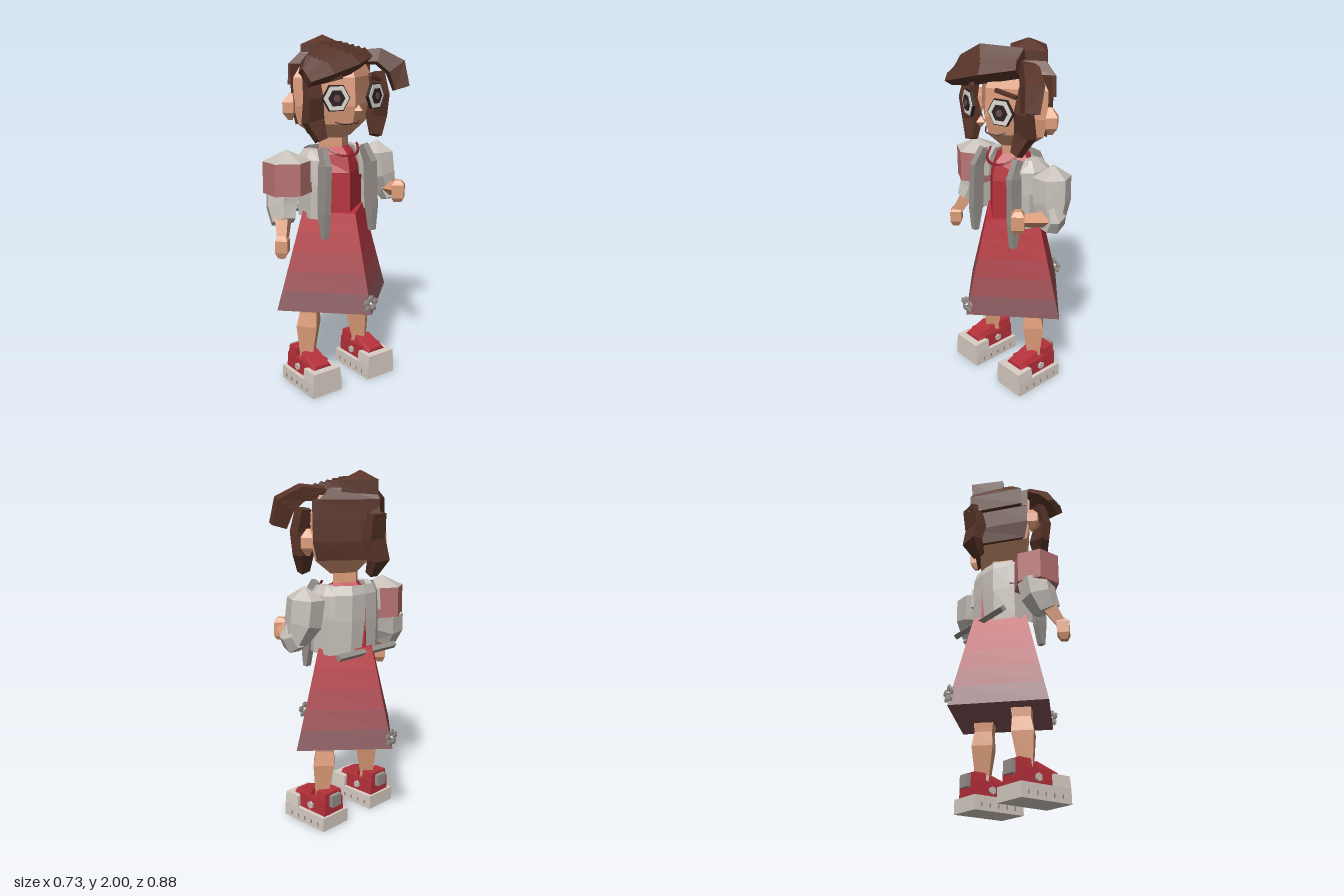
import * as THREE from 'three';

const SKIN = 0xdb9b78, HAIR = 0x5a3529, RED = 0xb5303a, CLOTH = 0xc8c1ba, TRIM = 0x98928c, DARK = 0x2b2122, SOLE = 0xd8cec4;
const V = (x, y, z) => new THREE.Vector3(x, y, z);

function mesh(name, color, geometry, parent, pos = [0, 0, 0], rot = [0, 0, 0], side = THREE.FrontSide) {
  const m = new THREE.Mesh(geometry, new THREE.MeshStandardMaterial({ color, flatShading: true, side }));
  m.name = name;
  m.position.set(...pos);
  m.rotation.set(...rot);
  parent.add(m);
  return m;
}
const box = (name, color, size, pos, parent, rot) => mesh(name, color, new THREE.BoxGeometry(...size), parent, pos, rot);

// Horizontal ring of n points
function ring(cx, y, cz, rx, rz, n = 4) {
  return Array.from({ length: n }, (_, i) => {
    const a = (i / n) * Math.PI * 2;
    return V(cx + rx * Math.cos(a), y, cz + rz * Math.sin(a));
  });
}

// Skin over a stack of rings; closed with caps, or an open sheet
function loft(name, color, rings, parent, open = false) {
  const tris = [], n = rings[0].length;
  for (let r = 0; r + 1 < rings.length; r++) {
    for (let i = 0; i < (open ? n - 1 : n); i++) {
      const j = (i + 1) % n, a = rings[r][i], b = rings[r][j], c = rings[r + 1][j], d = rings[r + 1][i];
      tris.push([a, b, c], [a, c, d]);
    }
  }
  if (!open) {
    const last = rings[rings.length - 1];
    for (let i = 1; i + 1 < n; i++) tris.push([rings[0][0], rings[0][i + 1], rings[0][i]], [last[0], last[i], last[i + 1]]);
    const o = rings[0][0];
    const volume = tris.reduce((s, [a, b, c]) => s + a.clone().sub(o).dot(b.clone().sub(o).cross(c.clone().sub(o))), 0);
    if (volume < 0) tris.forEach(t => t.reverse());
  }
  const g = new THREE.BufferGeometry().setFromPoints(tris.flat());
  g.computeVertexNormals();
  return mesh(name, color, g, parent, undefined, undefined, open ? THREE.DoubleSide : THREE.FrontSide);
}

// Limb or lock along points [x, y, z, halfWidth, halfThickness]; width lies along `across`
function limb(name, color, pts, parent, n = 4, phase = 0, across = V(0, 0, 1)) {
  const p = pts.map(q => V(q[0], q[1], q[2]));
  const rings = pts.map((q, k) => {
    const t = p[Math.min(k + 1, p.length - 1)].clone().sub(p[Math.max(k - 1, 0)]).normalize();
    const u = across.clone().addScaledVector(t, -across.dot(t)).normalize(), w = t.clone().cross(u);
    return Array.from({ length: n }, (_, i) => {
      const a = (i / n) * Math.PI * 2 + phase;
      return p[k].clone().addScaledVector(u, q[3] * Math.cos(a)).addScaledVector(w, q[4] * Math.sin(a));
    });
  });
  return loft(name, color, rings, parent);
}
const Q = Math.PI / 4;

function buildBody(g) {
  // Skirt: four-sided, fading toward the hem
  const top = new THREE.Color(0xb8303a), hem = new THREE.Color(0x86555a), bands = 5;
  for (let i = 0; i < bands; i++) {
    const at = f => ring(0, 1.04 - 0.55 * f, 0, 0.205 + 0.157 * f, 0.215 + 0.177 * f);
    const c = top.clone().lerp(hem, Math.pow(i / (bands - 1), 1.5));
    loft('skirt', c.getHex(), [at((i + 1) / bands), at(i / bands)], g);
  }
  loft('bodice', RED, [ring(0, 1.03, 0, 0.157, 0.2), ring(0, 1.26, 0, 0.152, 0.2), ring(0, 1.36, 0, 0.13, 0.14), ring(0, 1.4, 0, 0.08, 0.09)], g);
  loft('neck', SKIN, [ring(0, 1.34, 0, 0.08, 0.1), ring(0, 1.5, 0, 0.08, 0.1)], g);
  const cord = new THREE.CatmullRomCurve3([V(0.07, 1.41, 0.11), V(0.13, 1.37, 0.07), V(0.15, 1.355, 0), V(0.13, 1.37, -0.07), V(0.07, 1.41, -0.11)]);
  mesh('neckCord', 0x8c2029, new THREE.TubeGeometry(cord, 12, 0.008, 4), g);

  // Open jacket shell, broad front lapels and rear bar
  const half = [[0.12, 0.17], [0.06, 0.2], [-0.07, 0.2], [-0.145, 0.1]];
  const outline = [...half, [-0.152, 0], ...half.map(([x, z]) => [x, -z]).reverse()];
  const row = (y, sx, sz, dx = 0) => outline.map(([x, z]) => V(x * sx + dx, y, z * sz));
  loft('jacket', CLOTH, [row(1.01, 0.94, 1), row(1.2, 1, 1), row(1.34, 0.99, 0.96), row(1.39, 0.88, 0.82)], g, true);
  for (const s of [1, -1]) {
    limb('lapel', TRIM, [[0.09, 1.4, s * 0.14, 0.025, 0.035], [0.135, 1.31, s * 0.155, 0.03, 0.05], [0.14, 1.05, s * 0.165, 0.03, 0.05], [0.15, 0.91, s * 0.165, 0.025, 0.02]], g, 4, Q);
    loft('shoulder', CLOTH, [ring(0, 1.22, s * 0.19, 0.1, 0.04, 6), ring(0, 1.34, s * 0.18, 0.1, 0.05, 6), ring(0, 1.39, s * 0.15, 0.05, 0.03, 6)], g);
  }
  mesh('rearBar', TRIM, new THREE.CylinderGeometry(0.021, 0.021, 0.46, 4), g, [-0.17, 1.02, 0], [Math.PI / 2, 0, 0]);

  // Hem flowers, front and back
  for (const s of [1, -1]) {
    const flower = new THREE.Group();
    flower.name = 'hemFlower';
    flower.position.set(s * 0.354, 0.555, 0);
    for (let i = 0; i < 5; i++) {
      const a = (i / 5) * Math.PI * 2;
      const petal = mesh('petal', TRIM, new THREE.IcosahedronGeometry(0.023, 0), flower, [0, 0.031 * Math.cos(a), 0.031 * Math.sin(a)]);
      petal.scale.x = 0.3;
    }
    mesh('flowerCentre', CLOTH, new THREE.OctahedronGeometry(0.013), flower);
    g.add(flower);
  }
}

function buildLegs(g) {
  for (const s of [1, -1]) {
    loft('leg', SKIN, [ring(0, 0.15, s * 0.19, 0.05, 0.055), ring(0.005, 0.2, s * 0.19, 0.055, 0.058), ring(0, 0.36, s * 0.18, 0.083, 0.085),
      ring(0, 0.44, s * 0.172, 0.07, 0.07), ring(0, 0.56, s * 0.165, 0.085, 0.085)], g);
    const shoe = new THREE.Group();
    shoe.name = 'shoe';
    shoe.position.z = s * 0.197;
    g.add(shoe);
    const block = (name, color, x0, x1, y0, y1, w0, w1) =>
      loft(name, color, [[y0, w0], [y1, w1]].map(([y, w]) => [V(x0, y, -w), V(x1, y, -w), V(x1, y, w), V(x0, y, w)]), shoe);
    block('sole', SOLE, -0.11, 0.215, 0, 0.08, 0.1, 0.098);
    block('toeCap', SOLE, 0.11, 0.215, 0.07, 0.145, 0.098, 0.09);
    block('shoeUpper', RED, -0.095, 0.115, 0.08, 0.165, 0.075, 0.07);
    loft('tongue', RED, [[V(0.17, 0.145, -0.06), V(0.17, 0.145, 0.06), V(0.17, 0.165, 0.045), V(0.17, 0.165, -0.045)],
      [V(0.03, 0.15, -0.07), V(0.03, 0.15, 0.07), V(0.03, 0.205, 0.05), V(0.03, 0.205, -0.05)]], shoe);
    block('ankleCollar', RED, -0.09, -0.015, 0.15, 0.21, 0.07, 0.06);
    block('heelTab', TRIM, -0.12, -0.095, 0.13, 0.2, 0.035, 0.035);
    for (const t of [1, -1]) {
      mesh('button', CLOTH, new THREE.CylinderGeometry(0.022, 0.022, 0.012, 6), shoe, [0.02, 0.117, t * 0.077], [Math.PI / 2, 0, 0]);
      for (let i = 0; i < 5; i++) box('soleNotch', TRIM, [0.008, 0.022, 0.004], [-0.065 + i * 0.055, 0.032, t * 0.1], shoe);
    }
  }
}

function buildArms(g) {
  // Right arm hangs down
  loft('rightSleeve', 0xba7473, [ring(0, 1.165, 0.31, 0.13, 0.135, 6), ring(0, 1.34, 0.31, 0.13, 0.135, 6)], g);
  loft('rightSleeveTop', CLOTH, [ring(0, 1.34, 0.31, 0.13, 0.135, 6), ring(0, 1.4, 0.315, 0.004, 0.004, 6)], g);
  limb('rightCuff', CLOTH, [[-0.02, 1.18, 0.33, 0.09, 0.11], [-0.01, 1.09, 0.345, 0.085, 0.11], [0.03, 1.01, 0.36, 0.065, 0.09]], g, 6);
  limb('rightForearm', SKIN, [[0.03, 1.06, 0.36, 0.055, 0.06], [0.095, 0.93, 0.405, 0.035, 0.04]], g);
  loft('rightHand', SKIN, [ring(0.1, 0.835, 0.415, 0.025, 0.025), ring(0.1, 0.87, 0.41, 0.048, 0.048), ring(0.1, 0.935, 0.41, 0.048, 0.048), ring(0.09, 0.96, 0.405, 0.03, 0.03)], g);

  // Left arm is bent with the forearm forward
  limb('leftSleeve', CLOTH, [[0, 1.4, -0.315, 0.005, 0.005], [0, 1.335, -0.305, 0.1, 0.11], [0.01, 1.2, -0.32, 0.095, 0.11], [0.035, 1.1, -0.355, 0.06, 0.07]], g, 6);
  limb('leftCuff', CLOTH, [[0, 1.14, -0.36, 0.055, 0.075], [0.05, 1.12, -0.36, 0.065, 0.09], [0.09, 1.125, -0.35, 0.06, 0.07]], g, 6);
  limb('leftForearm', SKIN, [[0.05, 1.12, -0.355, 0.055, 0.05], [0.21, 1.14, -0.3, 0.035, 0.035]], g);
  loft('leftHand', SKIN, [ring(0.225, 1.075, -0.29, 0.03, 0.03), ring(0.228, 1.1, -0.29, 0.048, 0.05), ring(0.228, 1.175, -0.29, 0.048, 0.05), ring(0.225, 1.2, -0.29, 0.025, 0.025)], g);
}

function buildHead(g) {
  // Four-sided head with an edge down the middle of the face
  loft('head', SKIN, [ring(0.005, 1.45, 0, 0.08, 0.115), ring(0, 1.53, 0, 0.175, 0.235), ring(0, 1.63, 0, 0.2, 0.265), ring(0, 1.78, 0, 0.19, 0.265), ring(0, 1.87, 0, 0.15, 0.2)], g);
  mesh('nose', SKIN, new THREE.OctahedronGeometry(0.032), g, [0.225, 1.61, 0]);
  const smile = new THREE.CatmullRomCurve3([V(0.125, 1.545, 0.08), V(0.155, 1.535, 0.05), V(0.182, 1.538, 0), V(0.155, 1.535, -0.05), V(0.125, 1.545, -0.08)]);
  mesh('mouth', 0x5c2f28, new THREE.TubeGeometry(smile, 10, 0.004, 4), g);
  for (const s of [1, -1]) {
    // Ear
    loft('ear', SKIN, [ring(0, 1.56, s * 0.285, 0.015, 0.015), ring(0, 1.6, s * 0.295, 0.046, 0.04), ring(0, 1.655, s * 0.295, 0.046, 0.04), ring(0, 1.7, s * 0.28, 0.015, 0.015)], g);
    // Eye: stacked hexagonal discs facing outward
    const eye = new THREE.Group();
    eye.name = 'eye';
    eye.position.set(0.2, 1.68, s * 0.13);
    eye.rotation.y = -s * 0.3;
    g.add(eye);
    [['eyeRim', DARK, 0.077, 0.0], ['eyeWhite', 0xe2ddd6, 0.071, 0.004], ['iris', DARK, 0.046, 0.009], ['pupil', 0x6b4a4c, 0.02, 0.013]].forEach(([name, color, r, x]) =>
      mesh(name, color, new THREE.CylinderGeometry(r, r, 0.016, 6), eye, [x, 0, 0], [0, 0, -Math.PI / 2]));
    box('eyebrow', HAIR, [0.02, 0.018, 0.12], [0.18, 1.775, s * 0.145], g, [s * 0.25, -s * 0.4, 0]);
  }
}

function buildHair(g) {
  // Four-sided crown, cap and rear hair mass
  loft('crown', HAIR, [ring(-0.11, 1.83, 0, 0.125, 0.145), ring(-0.11, 1.95, 0, 0.13, 0.145), ring(-0.11, 2, 0, 0.003, 0.003)], g);
  loft('hairCap', HAIR, [ring(-0.06, 1.74, 0, 0.19, 0.262), ring(-0.06, 1.85, 0, 0.19, 0.258), ring(-0.065, 1.91, 0, 0.15, 0.18)], g);
  const row = (y, back, side) => [V(-0.02, y, side), V(-back, y, 0), V(-0.02, y, -side)];
  loft('backHair', HAIR, [row(1.53, 0.2, 0.24), row(1.63, 0.215, 0.268), row(1.84, 0.215, 0.268)], g);
  loft('backHairOverlap', HAIR, [row(1.74, 0.26, 0.27), row(1.85, 0.245, 0.27)], g);
  limb('backLock', HAIR, [[-0.23, 1.78, -0.01, 0.07, 0.045], [-0.205, 1.64, 0, 0.085, 0.05], [-0.235, 1.53, 0.01, 0.08, 0.045], [-0.185, 1.45, 0.01, 0.04, 0.03]], g, 4, Q);
  for (const s of [1, -1]) {
    limb('sideLock', HAIR, [[0.1, 1.8, s * 0.22, 0.05, 0.04], [0.13, 1.68, s * 0.225, 0.06, 0.045], [0.11, 1.56, s * 0.215, 0.075, 0.045], [0.145, 1.455, s * 0.185, 0.04, 0.03]], g, 4, Q);
  }
  // Swept fringe in overlapping strips
  for (let i = 0; i < 5; i++) {
    limb('fringeStrip', HAIR, [
      [0.09 - 0.028 * i, 1.885 + 0.008 * i, -0.14 + 0.02 * i, 0.055, 0.045],
      [0.185 - 0.026 * i, 1.855 + 0.015 * i, 0.02 + 0.034 * i, 0.06, 0.055],
      [0.188 - 0.016 * i, 1.815 + 0.011 * i, 0.17 + 0.018 * i, 0.055, 0.055],
      [0.193 - 0.012 * i, 1.775 + 0.008 * i, 0.305 - 0.004 * i, 0.035, 0.035]], g, 4, Q, V(0.8, 0.6, 0));
  }
  // Hooked lock on the other side
  limb('hookedLock', HAIR, [[0.03, 1.88, -0.13, 0.05, 0.045], [0.1, 1.885, -0.23, 0.06, 0.055], [0.155, 1.825, -0.31, 0.07, 0.075], [0.185, 1.71, -0.33, 0.055, 0.06]], g, 4, Q, V(0.8, 0.2, 0.5));
}

export function createModel() {
  const model = new THREE.Group();
  model.name = 'figure';
  const body = new THREE.Group();
  body.name = 'standingFigure';
  body.position.z = -0.015;
  model.add(body);
  [buildBody, buildLegs, buildArms, buildHead, buildHair].forEach(build => build(body));
  return model;
}
